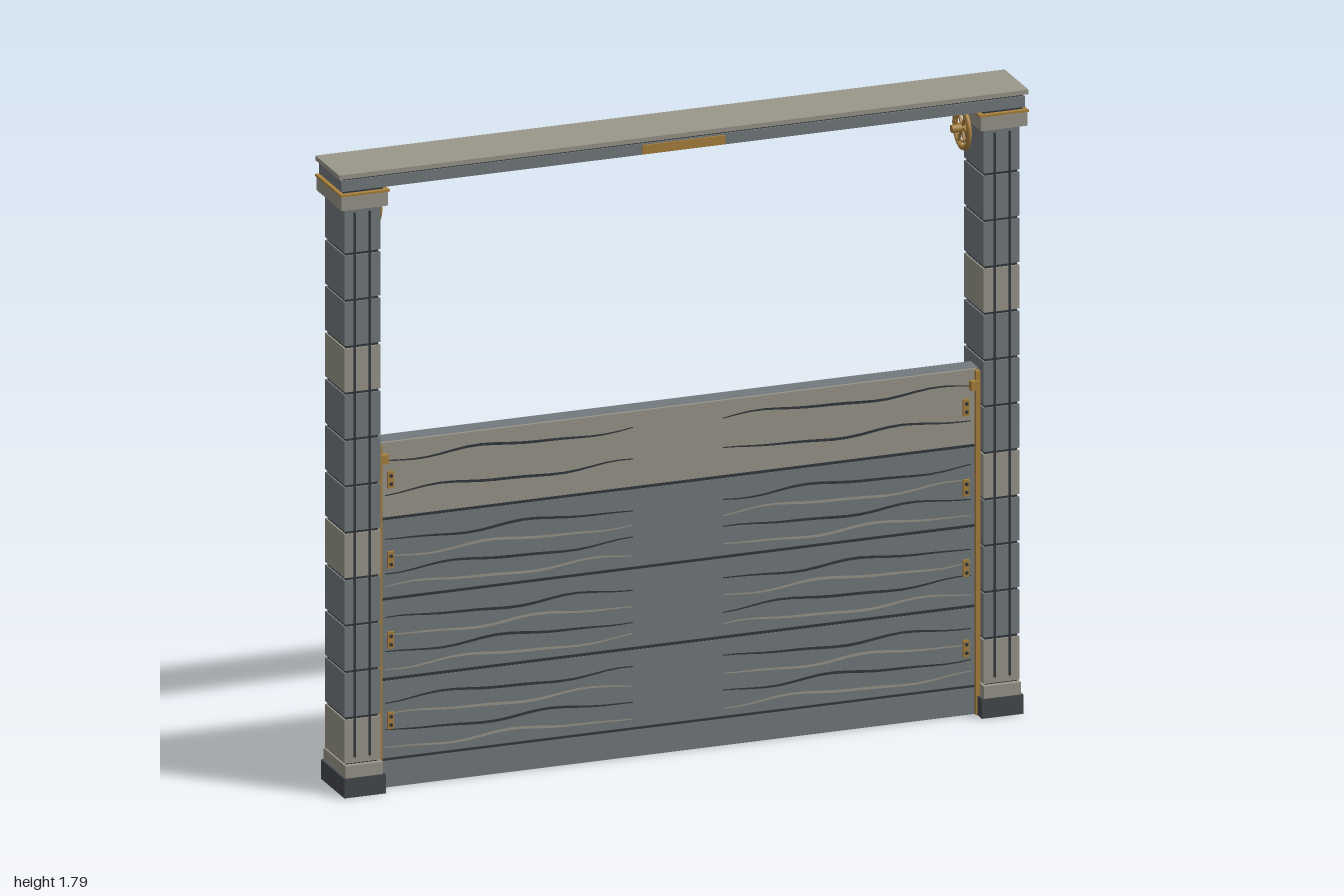
import * as THREE from 'three';

const mat = (name, color) => {
  const m = new THREE.MeshStandardMaterial({ color });
  m.name = name;
  return m;
};

export function createModel() {
  const gate = new THREE.Group();
  gate.name = 'gate';
  const slate = mat('slate', 0x73797d);
  const pale = mat('pale stone', 0x9a978a);
  const charcoal = mat('charcoal', 0x44494e);
  const seam = mat('dark seam', 0x33393e);
  const brass = mat('brass', 0xa9813f);

  const add = (parent, name, geometry, material) => {
    const mesh = new THREE.Mesh(geometry, material);
    mesh.name = name;
    parent.add(mesh);
    return mesh;
  };
  // Box given by its minimum and maximum on each axis
  const box = (parent, name, material, x0, x1, y0, y1, z0, z1) => {
    const mesh = add(parent, name, new THREE.BoxGeometry(x1 - x0, y1 - y0, z1 - z0), material);
    mesh.position.set((x0 + x1) / 2, (y0 + y1) / 2, (z0 + z1) / 2);
    return mesh;
  };

  // Wavy ribbon of wood grain running from xa to xb
  const grainGeometry = (xa, xb, phase) => {
    const top = [], bottom = [];
    const steps = 18;
    for (let i = 0; i <= steps; i++) {
      const t = i / steps;
      const x = xa + (xb - xa) * t;
      const y = 0.007 * Math.sin(t * 9 + phase) + 0.003 * Math.sin(t * 17 + phase * 2);
      const half = 0.0015 + 0.0025 * Math.sin(Math.PI * t);
      top.push(new THREE.Vector2(x, y + half));
      bottom.unshift(new THREE.Vector2(x, y - half));
    }
    return new THREE.ShapeGeometry(new THREE.Shape([...top, ...bottom]));
  };

  for (const s of [-1, 1]) {
    const pillar = new THREE.Group();
    pillar.name = s > 0 ? 'leftPillar' : 'rightPillar';
    gate.add(pillar);
    const side = (name, material, xa, xb, ...rest) =>
      box(pillar, name, material, Math.min(s * xa, s * xb), Math.max(s * xa, s * xb), ...rest);

    // Plinth, mortar core and capital
    side('plinth', charcoal, 0.865, 0.985, 0, 0.055, -0.088, 0.09);
    side('plinthCourse', pale, 0.872, 0.98, 0.055, 0.09, -0.08, 0.086);
    side('mortarCore', seam, 0.88, 0.974, 0.09, 1.685, -0.066, 0.071);
    side('capital', pale, 0.86, 0.995, 1.685, 1.725, -0.095, 0.095);
    side('capitalTrim', brass, 0.856, 0.998, 1.725, 1.731, -0.097, 0.097);
    side('capitalNeck', seam, 0.87, 0.985, 1.731, 1.738, -0.083, 0.083);

    // Stacked blocks, every fourth one pale
    const h = 1.595 / 12;
    for (let i = 0; i < 12; i++) {
      const y = 0.09 + i * h;
      side('block', i % 4 ? slate : pale, 0.875, 0.979, y + 0.004, y + h - 0.004, -0.071, 0.076);
    }
    // Grooves down the front face
    for (const x of [0.907, 0.95]) {
      side('groove', seam, x - 0.003, x + 0.003, 0.11, 1.67, 0.075, 0.079);
    }

    // Guide rail and latch beside the panel
    side('guideRail', brass, 0.861, 0.874, 0, 0.985, 0.03, 0.056);
    side('latch', brass, 0.845, 0.872, 0.932, 0.958, 0.04, 0.062);

    // Lifting pulley on the inner face
    const pulley = new THREE.Group();
    pulley.name = 'pulley';
    pulley.position.set(s * 0.855, 1.655, -0.035);
    pulley.rotation.y = Math.PI / 2;
    pillar.add(pulley);
    add(pulley, 'pulleyRim', new THREE.TorusGeometry(0.056, 0.007, 8, 28), brass);
    add(pulley, 'pulleyInnerRing', new THREE.TorusGeometry(0.04, 0.003, 6, 24), brass);
    for (let i = 0; i < 3; i++) {
      const spoke = add(pulley, 'spoke', new THREE.BoxGeometry(0.11, 0.008, 0.006), brass);
      spoke.rotation.z = i * Math.PI / 3;
    }
    const axle = add(pulley, 'axle', new THREE.CylinderGeometry(0.011, 0.011, 0.062, 14), brass);
    axle.rotation.x = Math.PI / 2;
  }

  // Lintel across the top
  const lintel = new THREE.Group();
  lintel.name = 'lintel';
  gate.add(lintel);
  box(lintel, 'beam', slate, -0.992, 0.992, 1.736, 1.767, -0.085, 0.085);
  box(lintel, 'beamSeam', seam, -0.985, 0.985, 1.767, 1.773, -0.08, 0.08);
  box(lintel, 'copingSlab', pale, -1, 1, 1.773, 1.786, -0.09, 0.09);
  box(lintel, 'beamPlate', brass, -0.12, 0.12, 1.738, 1.764, 0.083, 0.09);

  // Panel: dark backing, sill and four planks
  const panel = new THREE.Group();
  panel.name = 'panel';
  gate.add(panel);
  box(panel, 'backing', charcoal, -0.876, 0.876, 0.08, 0.98, -0.022, 0.036);
  box(panel, 'sill', slate, -0.876, 0.876, 0, 0.076, -0.026, 0.044);
  box(panel, 'topEdge', slate, -0.876, 0.876, 0.98, 0.988, -0.022, 0.036);
  box(panel, 'backPlate', brass, -0.045, 0.045, 0.225, 0.245, -0.028, -0.021);

  for (let p = 0; p < 4; p++) {
    const y0 = 0.08 + p * 0.23;
    const isTop = p === 3;
    const y1 = isTop ? 0.988 : y0 + 0.225;
    box(panel, 'plank', isTop ? pale : slate, -0.866, 0.866, y0 + 0.004, y1, 0.03, 0.044);
    box(panel, 'plankSeam', seam, -0.866, 0.866, y0 - 0.005, y0 + 0.004, 0.03, 0.042);

    const offsets = isTop ? [0.17, 0.075] : [0.17, 0.125, 0.08, 0.035];
    for (const s of [-1, 1]) {
      // Grain lines, alternately dark and pale
      offsets.forEach((dy, i) => {
        const xa = s < 0 ? -0.85 : 0.13;
        const geometry = grainGeometry(xa, xa + 0.72, p * 1.7 + i * 1.3 + s);
        const grain = add(panel, 'grain', geometry, !isTop && i % 2 ? pale : seam);
        grain.position.set(0, y0 + dy, 0.0455);
      });
      // Strap with two bolts at each plank end
      const x = s * 0.835, y = y0 + 0.112;
      box(panel, 'strap', brass, x - 0.009, x + 0.009, y - 0.024, y + 0.024, 0.043, 0.051);
      for (const d of [-0.012, 0.012]) {
        const bolt = add(panel, 'bolt', new THREE.CylinderGeometry(0.005, 0.005, 0.006, 8), seam);
        bolt.position.set(x, y + d, 0.052);
        bolt.rotation.x = Math.PI / 2;
      }
    }
  }
  return gate;
}
